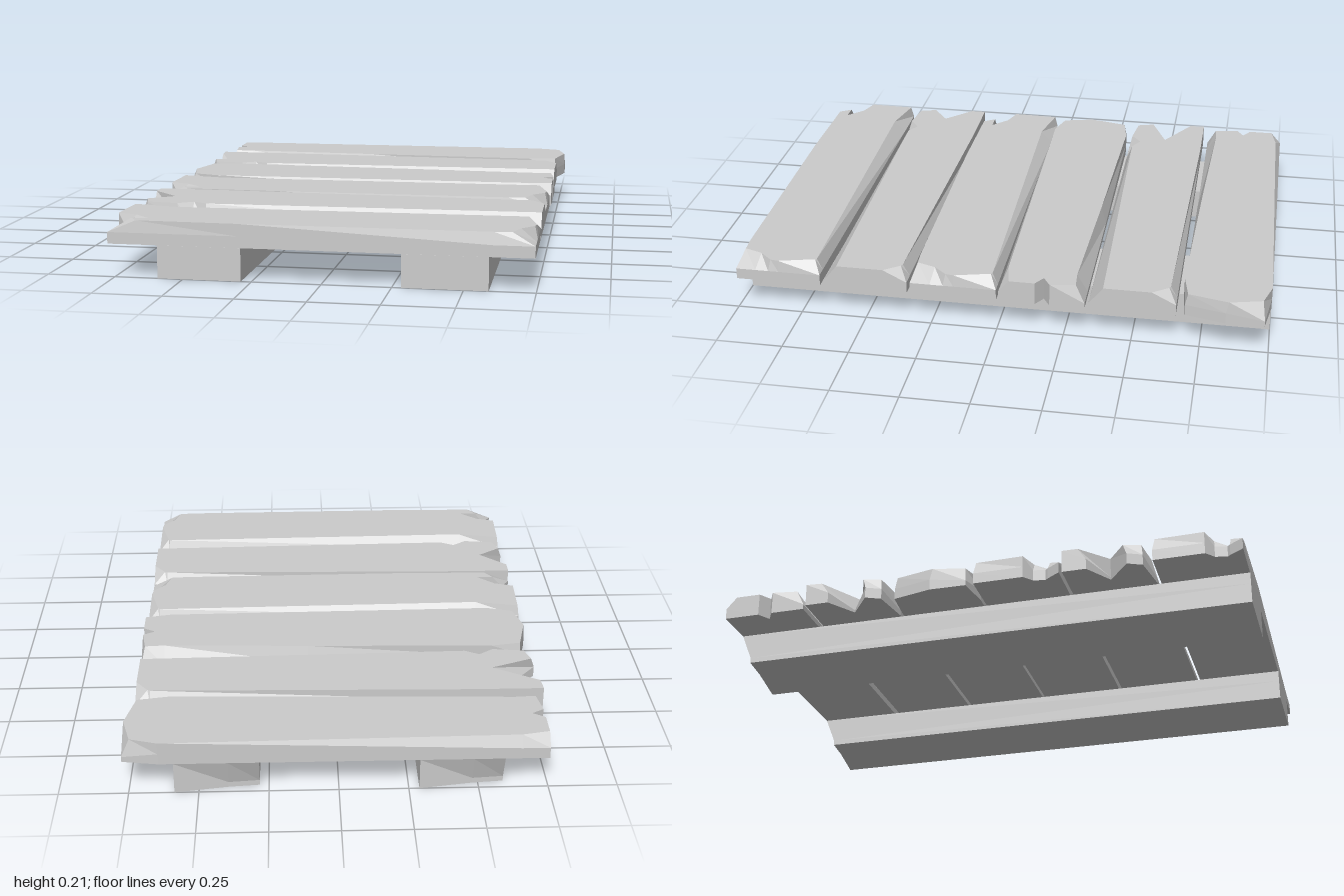
import * as THREE from 'three';

const material = new THREE.MeshStandardMaterial({ color: 0xcccccc });

// Solid from corner columns [x, z, topX, topZ, bevelY]: straight up to bevelY,
// then leaning to the top corner. Corners run clockwise seen from above.
function hewnBlock(corners, y0, y1) {
  const full = corners.map(([x, z, tx = x, tz = z, by = y1 - 0.045]) => ({ x, z, tx, tz, by }));
  const rings = [
    full.map((c) => new THREE.Vector3(c.x, y0, c.z)),
    full.map((c) => new THREE.Vector3(c.x, c.by, c.z)),
    full.map((c) => new THREE.Vector3(c.tx, y1, c.tz)),
  ];
  const pos = [];
  const tri = (...vs) => vs.forEach((v) => pos.push(v.x, v.y, v.z));
  const n = full.length;
  for (let r = 0; r < 2; r++) {
    for (let i = 0; i < n; i++) {
      const j = (i + 1) % n;
      const a = rings[r][i], b = rings[r][j], c = rings[r + 1][j], d = rings[r + 1][i];
      tri(a, d, c);
      tri(a, c, b);
    }
  }
  // Caps
  for (const [ring, up] of [[rings[0], false], [rings[2], true]]) {
    const faces = THREE.ShapeUtils.triangulateShape(ring.map((v) => new THREE.Vector2(v.x, v.z)), []);
    for (const [i, j, k] of faces) {
      const [a, b, c] = [ring[i], ring[j], ring[k]];
      const ny = (b.z - a.z) * (c.x - a.x) - (b.x - a.x) * (c.z - a.z);
      if ((ny > 0) === up) tri(a, b, c);
      else tri(a, c, b);
    }
  }
  const geo = new THREE.BufferGeometry();
  geo.setAttribute('position', new THREE.Float32BufferAttribute(pos, 3));
  geo.computeVertexNormals();
  return geo;
}

// Plank with a splintered left end (z from 0 to 0.33)
const splinteredPlank = [
  [-0.775, 0, -0.77, 0.01],
  [-0.6, 0, -0.6, 0.045],
  [0.7, 0, 0.7, 0.02],
  [0.745, 0, 0.705, 0.025],
  [0.745, 0.16, 0.74, 0.16],
  [0.745, 0.2, 0.735, 0.19],
  [0.745, 0.25, 0.69, 0.24],
  [0.745, 0.325, 0.665, 0.31],
  [0.6, 0.325, 0.6, 0.315],
  [-0.3, 0.325],
  [-0.775, 0.325, -0.67, 0.32],
  [-0.74, 0.275, -0.7, 0.275],
  [-0.73, 0.265, -0.635, 0.275],
  [-0.74, 0.22, -0.7, 0.215],
  [-0.775, 0.19],
];

// Plank with a V split in its left end; splitTop is how far the split reaches at the top
const splitPlank = (splitTop) => [
  [-0.775, 0],
  [-0.5, 0],
  [0.69, 0, 0.69, 0.025],
  [0.745, 0, 0.7, 0.03],
  [0.745, 0.09],
  [0.745, 0.32, 0.745, 0.267, 0.14],
  [-0.51, 0.32, -0.51, 0.295, 0.14],
  [-0.565, 0.32, -0.565, 0.265, 0.14],
  [-0.6, 0.32, -0.62, 0.305, 0.14],
  [-0.75, 0.295, -0.74, 0.29],
  [-0.775, 0.24, -0.76, 0.225],
  [-0.67, 0.16, splitTop, 0.16, 0.13],
  [-0.775, 0.09, splitTop < -0.65 ? -0.775 : -0.77, 0.06],
];

// Plank with a rounded right end and a small nick on the left
const roundedPlank = [
  [-0.75, 0, -0.75, 0.04],
  [-0.65, 0, -0.65, 0.02],
  [0.64, 0],
  [0.77, 0.02, 0.74, 0.03, 0.14],
  [0.772, 0.16, 0.77, 0.15],
  [0.735, 0.31, 0.735, 0.3],
  [0.62, 0.32],
  [-0.1, 0.32, -0.1, 0.3, 0.14],
  [-0.66, 0.32, -0.66, 0.28, 0.14],
  [-0.75, 0.32, -0.735, 0.285, 0.14],
  [-0.75, 0.19],
  [-0.705, 0.163],
  [-0.75, 0.135],
];

export function createModel() {
  const group = new THREE.Group();
  const add = (name, geo, z = 0, turn = 0) => {
    const mesh = new THREE.Mesh(geo, material);
    mesh.name = name;
    mesh.position.z = z;
    mesh.rotation.y = turn;
    group.add(mesh);
  };

  // Planks, back to front
  const plank = (corners) => hewnBlock(corners, 0.12, 0.207);
  add('roundedPlankBack', plank(roundedPlank), -1);
  add('splitPlankBack', plank(splitPlank(-0.6)), -0.66);
  add('roundedPlankMiddle', plank(roundedPlank), -0.007, Math.PI);
  add('splinteredPlankMiddle', plank(splinteredPlank), 0.003);
  add('splitPlankFront', plank(splitPlank(-0.67)), 0.34);
  add('splinteredPlankFront', plank(splinteredPlank), 0.674);

  // Two long runners underneath, slightly chipped at the back
  for (const [name, x] of [['leftRunner', 0.435], ['rightRunner', -0.44]]) {
    const corners = [
      [x - 0.152, -0.96, x - 0.152, -1, 0.02],
      [x - 0.04, -0.97, x - 0.04, -1, 0.02],
      [x + 0.152, -1],
      [x + 0.152, 1],
      [x - 0.152, 1],
    ];
    add(name, hewnBlock(corners, 0, 0.12));
  }
  return group;
}
